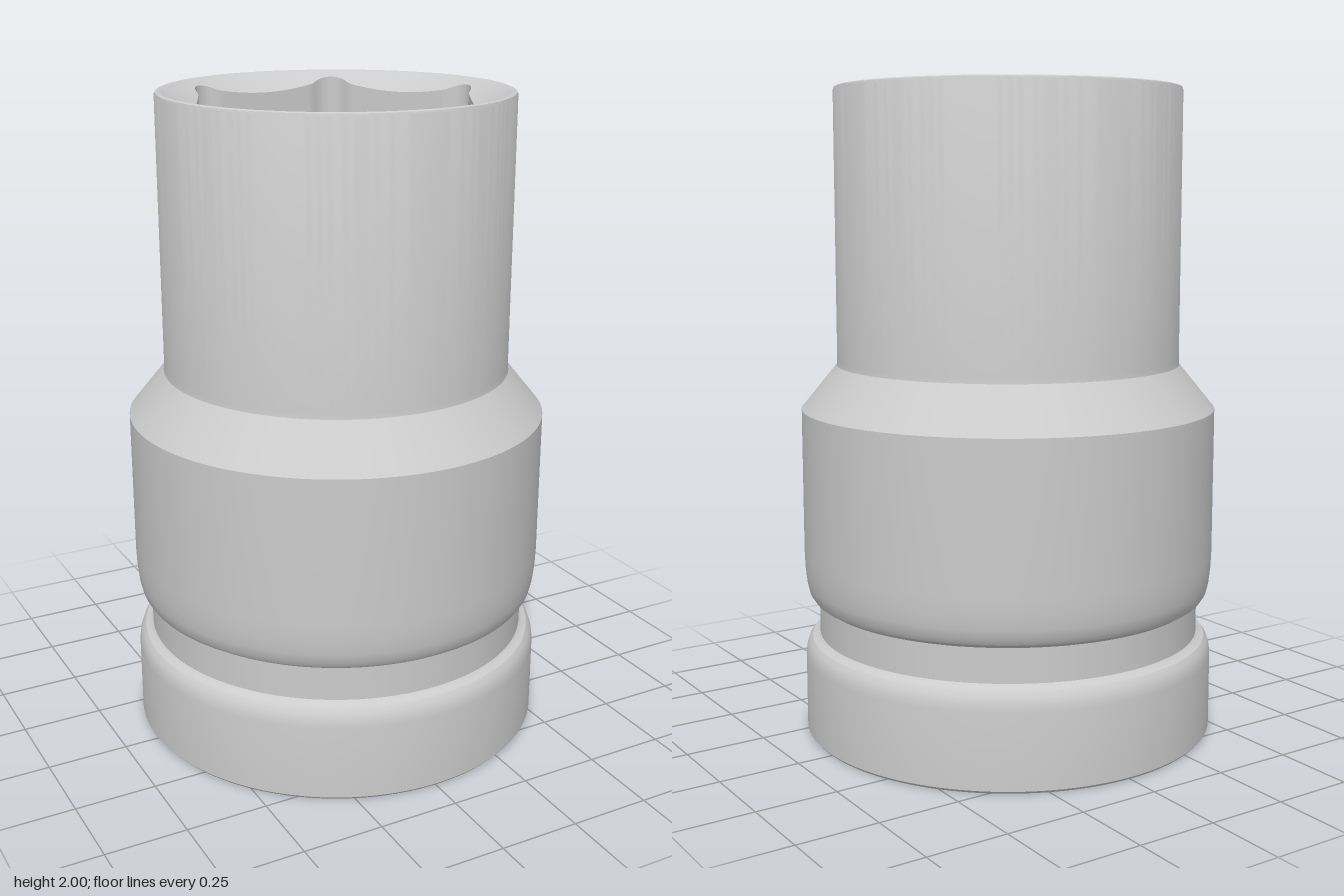
import * as THREE from 'three';
import { toCreasedNormals } from 'three/addons/utils/BufferGeometryUtils.js';

const SEGMENTS = 240;
const material = new THREE.MeshStandardMaterial({ color: 0xcccccc });

// Polygon radius at an angle: flat sides with a round relief lobe at each corner.
function lobedPolygon(sides, apothem, lobeCentre, lobeRadius, turn) {
  const step = (2 * Math.PI) / sides;
  const blend = 0.014;
  return (angle) => {
    const a = angle - turn;
    const phi = Math.abs(a - Math.round(a / step) * step);
    const flat = apothem / Math.cos(step / 2 - phi);
    const d = lobeRadius ** 2 - (lobeCentre * Math.sin(phi)) ** 2;
    if (d <= 0) return flat;
    const lobe = lobeCentre * Math.cos(phi) + Math.sqrt(d);
    const h = Math.max(blend - Math.abs(flat - lobe), 0) / blend;
    return Math.max(flat, lobe) + (h * h * blend) / 4;
  };
}

// Surface through rings; each row gives [radius, height] for an angle.
function ringSurface(name, rows) {
  const profile = rows.map((row) => new THREE.Vector2(...row(0)));
  const geometry = new THREE.LatheGeometry(profile, SEGMENTS);
  const position = geometry.attributes.position;
  for (let i = 0; i <= SEGMENTS; i++) {
    const angle = ((i % SEGMENTS) / SEGMENTS) * 2 * Math.PI;
    rows.forEach((row, j) => {
      const [r, y] = row(angle);
      position.setXYZ(i * rows.length + j, r * Math.sin(angle), y, r * Math.cos(angle));
    });
  }
  geometry.deleteAttribute('normal');
  geometry.deleteAttribute('uv');
  const mesh = new THREE.Mesh(toCreasedNormals(geometry, Math.PI / 7), material);
  mesh.name = name;
  return mesh;
}

const circle = (r, y) => () => [r, y];

export function createModel() {
  const group = new THREE.Group();
  group.name = 'hexSocket';

  // Outer body: base collar, retaining groove, shoulder and slim nose
  const outline = [
    [0.525, 0], [0.638, 0], [0.645, 0.008], [0.645, 0.24], [0.642, 0.262],
    [0.635, 0.282], [0.624, 0.296], [0.608, 0.302], [0.6, 0.31], [0.6, 0.415],
    [0.607, 0.422], [0.62, 0.428], [0.631, 0.445], [0.638, 0.475], [0.643, 0.52],
    [0.645, 0.57], [0.645, 1.02], [0.535, 1.155], [0.533, 1.17], [0.533, 1.99],
    [0.53, 1.997], [0.523, 2], [0.512, 1.998], [0.505, 1.993],
  ];
  group.add(ringSurface('outerBody', outline.map(([r, y]) => circle(r, y))));

  // Hexagonal recess: shallow lead-in cone, walls and floor
  const turn = Math.PI / 2 + THREE.MathUtils.degToRad(4);
  const hex = lobedPolygon(6, 0.413, 0.424, 0.058, turn);
  group.add(ringSurface('hexRecess', [
    circle(0.505, 1.993),
    (a) => [hex(a), 1.993 - 0.5 * (0.505 - hex(a))],
    (a) => [hex(a), 1.05],
    circle(0.385, 1.03),
  ]));

  // Round bore joining both recesses
  group.add(ringSurface('throughBore', [
    circle(0.385, 1.03), circle(0.345, 0.96), circle(0.345, 0.75),
  ]));

  // Square drive recess with relieved corners, opening at the base
  const square = lobedPolygon(4, 0.36, 0.39, 0.093, Math.PI / 4);
  group.add(ringSurface('squareDrive', [
    circle(0.345, 0.75),
    (a) => [square(a), 0.75],
    (a) => [square(a), 0.3 * (0.525 - square(a))],
    circle(0.525, 0),
  ]));

  return group;
}
